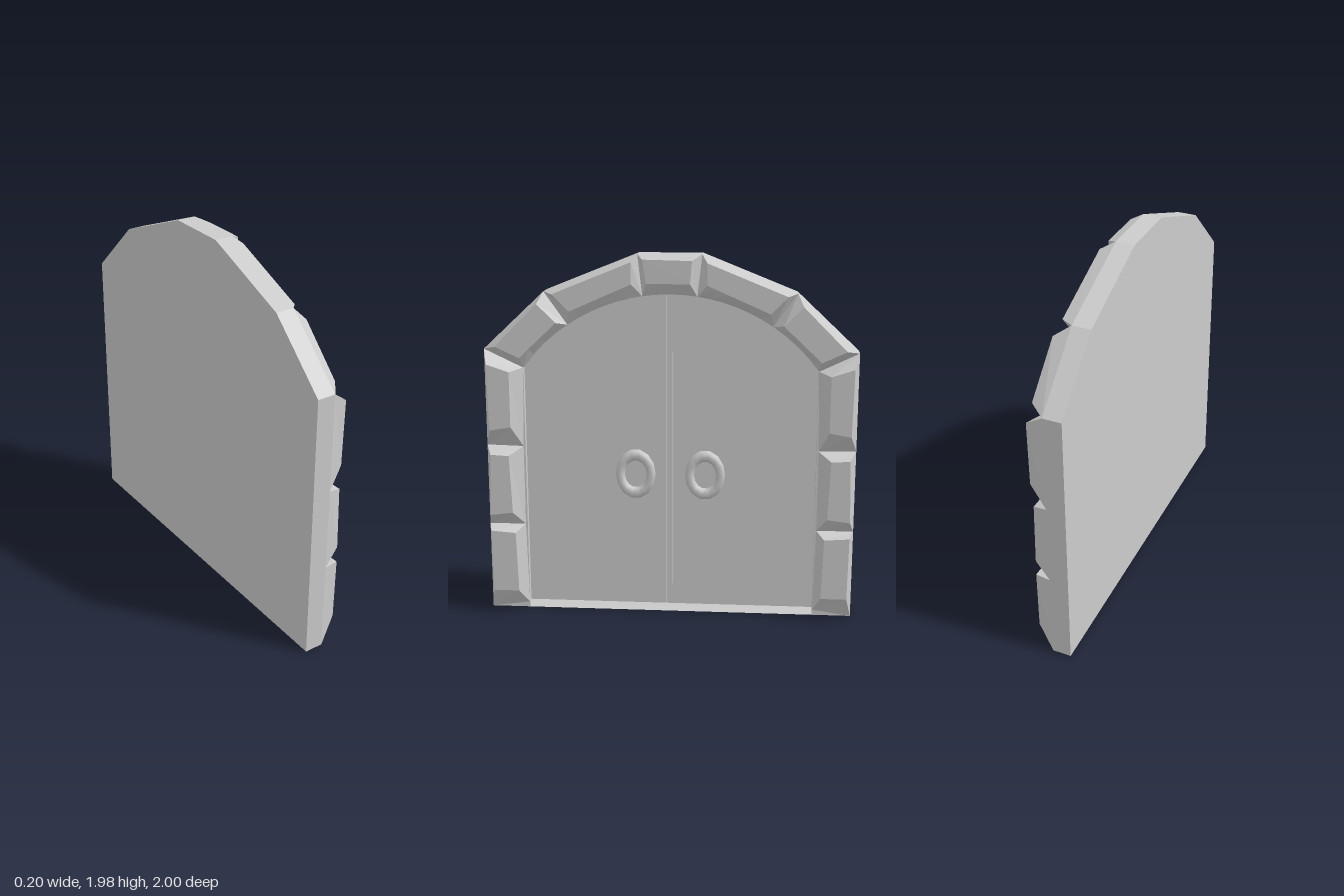
import * as THREE from 'three';

// Built facing local +z, then turned so that the door faces +x.
const ARC_Y = 0.79, ARC_R = 0.98, HALF = 0.79, SPRING = 1.37, RECESS = -0.04;
const OUTER = [[-1, 0], [-1, 1.47], [-0.67, 1.78], [-0.17, 1.98], [0.17, 1.98], [0.67, 1.78], [1, 1.47], [1, 0]];

const material = new THREE.MeshStandardMaterial({ color: 0xcccccc, flatShading: true });
const smooth = new THREE.MeshStandardMaterial({ color: 0xcccccc });

const arcY = (u) => ARC_Y + Math.sqrt(ARC_R * ARC_R - u * u);

// Points on the opening's arch between two u positions
function arch(u0, u1, n) {
  const pts = [];
  for (let i = 0; i <= n; i++) {
    const u = u0 + (u1 - u0) * i / n;
    pts.push([u, arcY(u)]);
  }
  return pts;
}

function plate(name, pts, back, front) {
  const shape = new THREE.Shape(pts.map((p) => new THREE.Vector2(...p)));
  const geo = new THREE.ExtrudeGeometry(shape, { depth: front - back, bevelEnabled: false });
  geo.translate(0, 0, back);
  const mesh = new THREE.Mesh(geo, material);
  mesh.name = name;
  return mesh;
}

// Chiselled block: outer edge o0-o1, inner edge polyline, raised top quad
// (outer start, outer end, inner end, inner start), with a height per end.
function stone(name, o0, o1, inner, top, h0, h1) {
  const pos = [];
  const quad = (a, b, c, d) => pos.push(...a, ...b, ...c, ...a, ...c, ...d);
  const base = (p) => [p[0], p[1], 0];
  const t = top.map((p, i) => [p[0], p[1], i === 0 || i === 3 ? h0 : h1]);
  const a = base(o0), b = base(o1), inn = inner.map(base), n = inn.length - 1;
  const edge = (k) => t[3].map((v, j) => v + (t[2][j] - v) * k / n);
  quad(t[0], t[3], t[2], t[1]);
  quad(a, inn[0], t[3], t[0]);
  quad(b, a, t[0], t[1]);
  quad(inn[n], b, t[1], t[2]);
  for (let k = 0; k < n; k++) quad(inn[k], inn[k + 1], edge(k + 1), edge(k));
  const geo = new THREE.BufferGeometry();
  geo.setAttribute('position', new THREE.Float32BufferAttribute(pos, 3));
  geo.computeVertexNormals();
  const mesh = new THREE.Mesh(geo, material);
  mesh.name = name;
  return mesh;
}

// One side's stones from the ground up; h = heights on the near and far side
const STONES = [
  { o: [[-1, 0], [-1, 0.49]], i: [[-0.79, 0.03], [-0.8, 0.49]],
    top: [[-0.97, 0.13], [-0.975, 0.475], [-0.84, 0.465], [-0.83, 0.13]], h: [0.092, 0.09] },
  { o: [[-1, 0.49], [-1, 0.94]], i: [[-0.8, 0.49], [-0.8, 0.935]],
    top: [[-0.975, 0.565], [-0.965, 0.905], [-0.865, 0.9], [-0.852, 0.58]], h: [0.09, 0.088] },
  { o: [[-1, 0.94], [-1, 1.47]], i: [[-0.8, 0.935], [-HALF, SPRING]],
    top: [[-0.965, 1.04], [-0.972, 1.4], [-0.85, 1.36], [-0.85, 1.06]], h: [0.092, 0.1] },
  { o: [[-1, 1.47], [-0.67, 1.78]], i: arch(-HALF, -0.545, 4),
    top: [[-0.93, 1.49], [-0.7, 1.72], [-0.6, 1.62], [-0.8, 1.43]], h: [0.055, 0.085] },
  { o: [[-0.67, 1.78], [-0.17, 1.98]], i: arch(-0.545, -0.145, 6),
    top: [[-0.62, 1.77], [-0.2, 1.94], [-0.2, 1.825], [-0.53, 1.68]], h: [0.045, 0.072] },
];

export function createModel() {
  const door = new THREE.Group();
  door.name = 'archedDoor';

  // Back slab and the surround around the opening
  door.add(plate('backSlab', OUTER, -0.1, -0.055));
  const opening = [[HALF, 0], ...arch(HALF, -HALF, 24), [-HALF, 0]];
  door.add(plate('surround', [...OUTER, ...opening], -0.055, 0));

  // Two door leaves with a narrow gap and a bead between them
  for (const s of [-1, 1]) {
    const leaf = [[s * 0.02, 0], [s * HALF, 0], ...arch(s * HALF, s * 0.02, 14)];
    door.add(plate(s < 0 ? 'leftLeaf' : 'rightLeaf', leaf, -0.055, RECESS));
  }
  door.add(plate('centreBead', [[-0.01, 0], [0.01, 0], [0.01, 1.765], [-0.01, 1.765]], -0.055, -0.046));

  // Sloping sill
  const wedge = new THREE.Shape([new THREE.Vector2(0, 0), new THREE.Vector2(-RECESS, 0), new THREE.Vector2(0, 0.03)]);
  const sillGeo = new THREE.ExtrudeGeometry(wedge, { depth: 2 * HALF, bevelEnabled: false });
  sillGeo.rotateY(-Math.PI / 2);
  sillGeo.translate(HALF, 0, RECESS);
  const sill = new THREE.Mesh(sillGeo, material);
  sill.name = 'sill';
  door.add(sill);

  // Frame stones, mirrored to the far side
  const flip = ([u, y]) => [-u, y];
  STONES.forEach(({ o, i, top, h }, k) => {
    door.add(stone('nearStone' + (k + 1), o[0], o[1], i, top, h[0], h[0]));
    const [t0, t1, t2, t3] = top.map(flip);
    door.add(stone('farStone' + (k + 1), flip(o[1]), flip(o[0]), i.map(flip).reverse(),
      [t1, t0, t3, t2], h[1], h[1]));
  });
  door.add(stone('keystone', [-0.17, 1.98], [0.17, 1.98], arch(-0.145, 0.145, 4),
    [[-0.14, 1.955], [0.12, 1.95], [0.11, 1.83], [-0.12, 1.83]], 0.055, 0.062));

  // Oval ring handles
  for (const s of [-1, 1]) {
    const ring = new THREE.Mesh(new THREE.TorusGeometry(0.085, 0.025, 8, 14), smooth);
    ring.name = s < 0 ? 'leftRing' : 'rightRing';
    ring.scale.set(1, 1.27, 1);
    ring.position.set(s * 0.19, 0.78, RECESS);
    door.add(ring);
  }

  door.rotation.y = Math.PI / 2;
  const model = new THREE.Group();
  model.name = 'stoneDoorway';
  model.add(door);
  return model;
}
